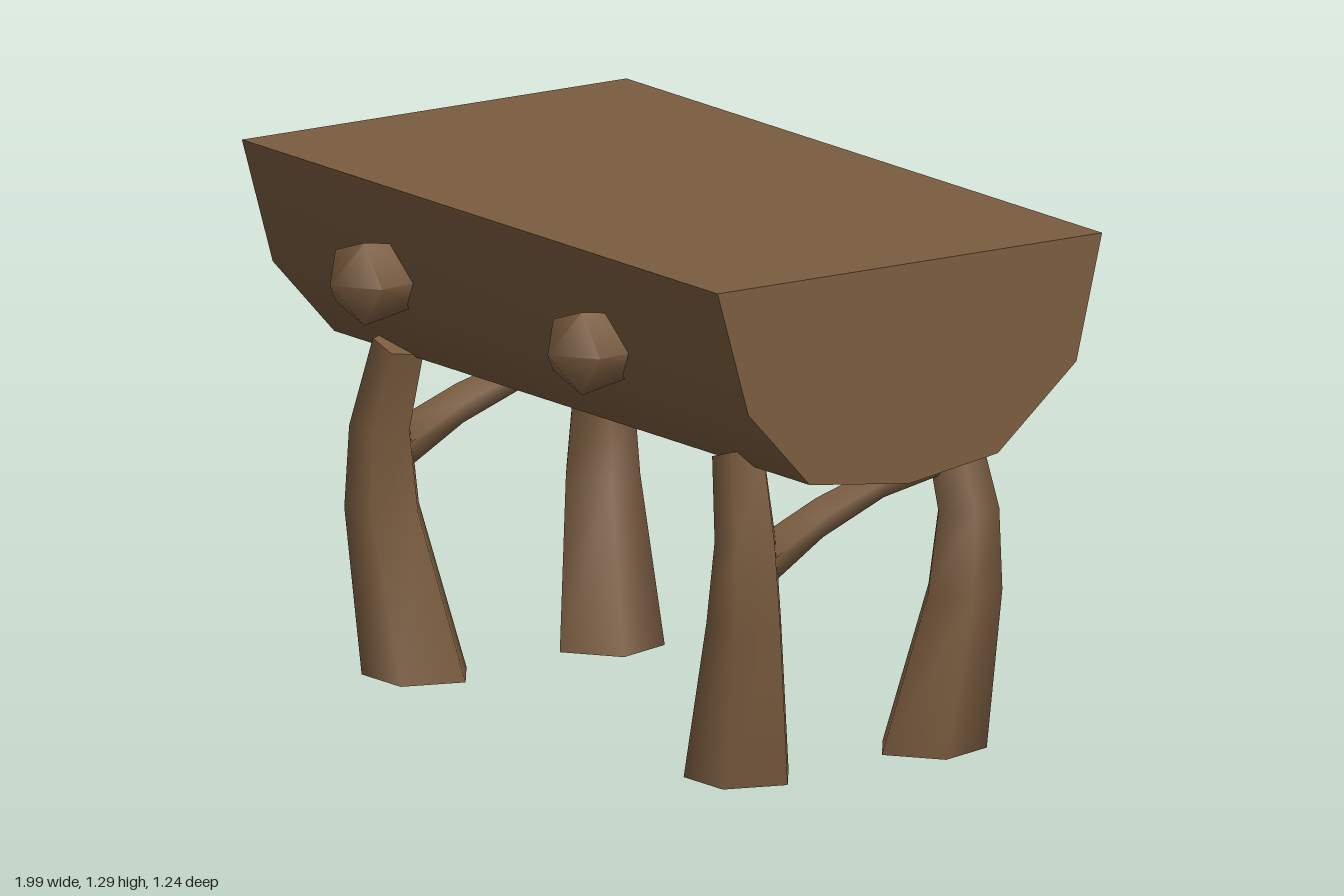
import * as THREE from 'three';
import { toCreasedNormals } from 'three/addons/utils/BufferGeometryUtils.js';

const wood = new THREE.MeshStandardMaterial({ name: 'brown wood', color: 0x7a5c3f });

// Skin over cross-sections, each counter-clockwise around the loft direction, with both ends closed.
function loft(name, rings, crease) {
  const pos = [];
  const tri = (...pts) => pts.forEach((p) => pos.push(...p));
  const n = rings[0].length;
  const middle = (ring) => [0, 1, 2].map((k) => ring.reduce((s, p) => s + p[k], 0) / n);
  const first = rings[0], last = rings[rings.length - 1];
  const c0 = middle(first), c1 = middle(last);
  for (let j = 0; j < n; j++) {
    const k = (j + 1) % n;
    for (let i = 0; i + 1 < rings.length; i++) {
      const a = rings[i], b = rings[i + 1];
      tri(a[j], a[k], b[k]);
      tri(a[j], b[k], b[j]);
    }
    tri(c0, first[k], first[j]);
    tri(c1, last[j], last[k]);
  }
  const geo = new THREE.BufferGeometry();
  geo.setAttribute('position', new THREE.Float32BufferAttribute(pos, 3));
  const mesh = new THREE.Mesh(toCreasedNormals(geo, crease), wood);
  mesh.name = name;
  return mesh;
}

// Five points around a circle, passed to a placing function
const pentagon = (place, start = 0) =>
  Array.from({ length: 5 }, (_, i) => {
    const t = start + (i * Math.PI * 2) / 5;
    return place(Math.cos(t), Math.sin(t));
  });

export function createModel() {
  const model = new THREE.Group();
  model.name = 'logBench';

  // Half-log seat: [z, y] profile, slightly skewed from end to end
  const profile = [
    [0.52, 1.29], [0.43, 0.98], [0.25, 0.785], [-0.04, 0.75],
    [-0.3, 0.79], [-0.53, 0.985], [-0.605, 1.29],
  ];
  const end = (x, shift) => profile.map(([z, y]) => [x, y, z + shift]);
  model.add(loft('halfLogSeat', [end(-1, -0.016), end(0.993, 0)], 1.05));

  // Branch stubs on the front
  for (const x of [-0.475, 0.427]) {
    const ring = (z, r) => pentagon((c, s) => [x + c * r, 1.045 + s * r, z]);
    model.add(loft('branchStub', [ring(0.38, 0.08), ring(0.54, 0.107), ring(0.617, 0.001)], 1.4));
  }

  // Legs: [y, x, z, radius, tilt]; flat side outward, corner inward
  const frontLeg = [
    [0, 0.667, 0.213, 0.138, 0], [0.4, 0.75, 0.254, 0.098, 0],
    [0.6, 0.757, 0.257, 0.08, 0], [0.81, 0.703, 0.242, 0.067, 0.3],
  ];
  const backLeg = [
    [0, 0.667, -0.336, 0.138, 0], [0.4, 0.75, -0.372, 0.098, 0],
    [0.6, 0.757, -0.38, 0.08, 0], [0.86, 0.7, -0.353, 0.067, 0.2],
  ];
  // Braces from front leg to back leg: [z, y, x, radius]
  const brace = [
    [-0.35, 0.72, 0.73, 0.032], [-0.14, 0.69, 0.735, 0.04],
    [0.05, 0.628, 0.745, 0.05], [0.23, 0.54, 0.755, 0.066],
  ];

  for (const side of [-1, 1]) {
    const mirror = (x) => -0.01 + side * x;
    for (const [name, rows, start] of [['frontLeg', frontLeg, Math.PI], ['backLeg', backLeg, 0]]) {
      const rings = rows.map(([y, x, z, r, tilt]) =>
        pentagon((c, s) => [mirror(x) + s * r, y + side * s * r * tilt, z + c * r], start));
      model.add(loft(name, rings, 1.4));
    }
    const rings = brace.map(([z, y, x, r]) =>
      pentagon((c, s) => [mirror(x) + c * r, y + s * r, z], Math.PI / 2));
    model.add(loft('brace', rings, 1.4));
  }
  return model;
}
